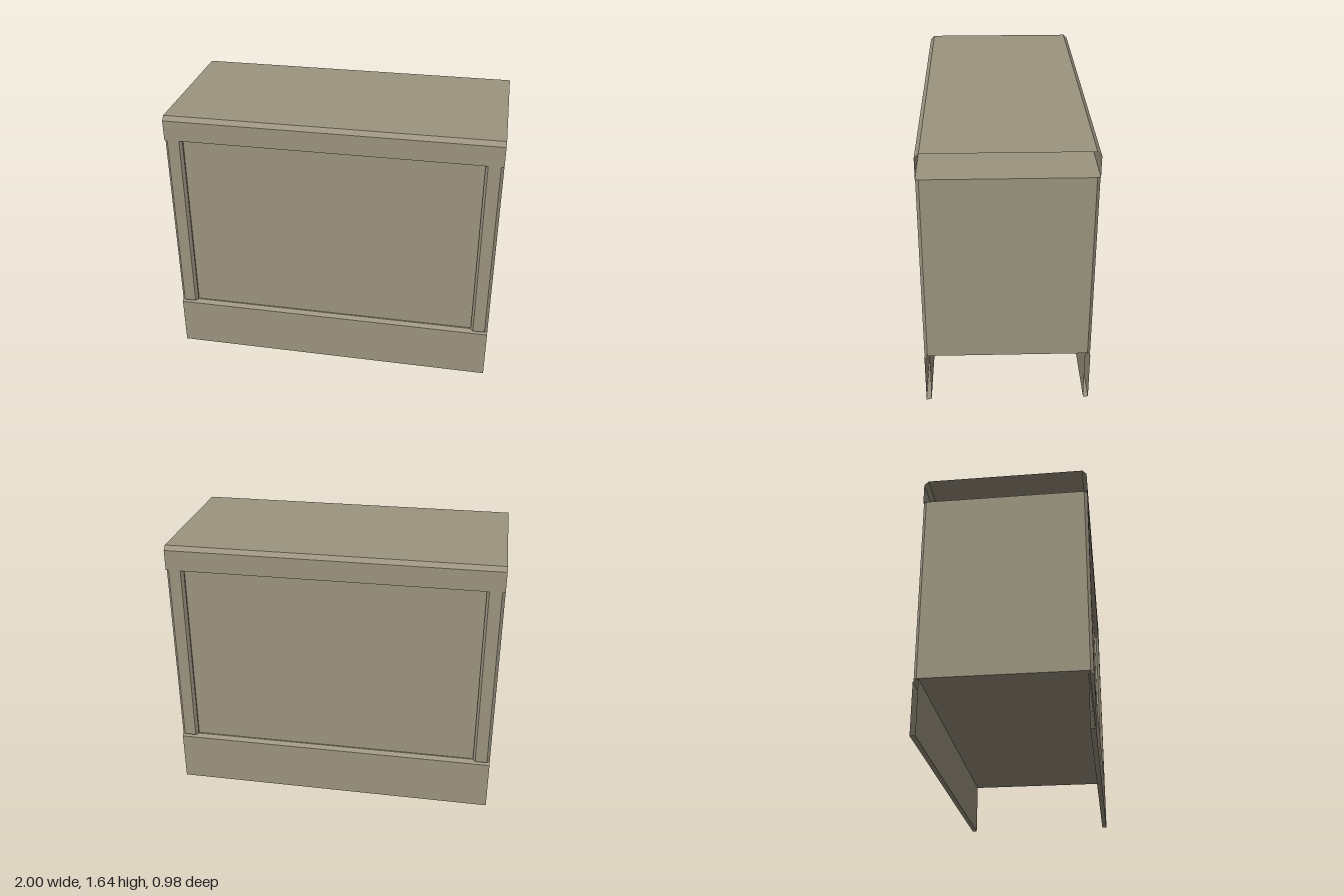
import * as THREE from 'three';

// Sweeps a 2D profile into a flat-faced sheet; place(u, v, t) gives the point at end t (0 or 1).
function sweep(profile, place) {
  const pos = [];
  for (let i = 0; i < profile.length - 1; i++) {
    const [p, q] = [profile[i], profile[i + 1]];
    const a = place(...p, 0), b = place(...p, 1), c = place(...q, 1), d = place(...q, 0);
    pos.push(...a, ...b, ...c, ...a, ...c, ...d);
  }
  const geo = new THREE.BufferGeometry();
  geo.setAttribute('position', new THREE.Float32BufferAttribute(pos, 3));
  geo.computeVertexNormals();
  return geo;
}

export function createModel() {
  const model = new THREE.Group();
  model.name = 'cabinet';
  const paint = new THREE.MeshStandardMaterial({ color: 0x9c9480, side: THREE.DoubleSide });
  paint.name = 'taupe paint';

  const add = (parent, name, geo) => {
    const mesh = new THREE.Mesh(geo, paint);
    mesh.name = name;
    parent.add(mesh);
    return mesh;
  };

  const low = 0.33, high = 1.49, panelZ = 0.46, faceZ = 0.49, bevelZ = 0.468;
  const alongX = (z, y, t) => [t * 2 - 1, y, z];
  const alongY = (x, z, t) => [x, t ? high : low, z];

  // Main box between the rails
  const body = add(model, 'body', new THREE.BoxGeometry(2, high - low, panelZ * 2));
  body.position.y = (low + high) / 2;

  // Top with bevelled front and back edges, open at both ends
  add(model, 'top', sweep([
    [panelZ, high], [faceZ, high], [faceZ, 1.615], [bevelZ - 0.003, 1.64],
    [-bevelZ + 0.003, 1.64], [-faceZ, 1.615], [-faceZ, high], [-panelZ, high],
  ], alongX));

  // Front and back frames are the same, turned half way round
  for (const side of ['front', 'back']) {
    const frame = new THREE.Group();
    frame.name = side + 'Frame';
    if (side === 'back') frame.rotation.y = Math.PI;
    model.add(frame);

    // Hollow skirting board with a bevelled top edge
    add(frame, side + 'Skirting', sweep([
      [panelZ, low], [panelZ, 0], [faceZ, 0], [faceZ, 0.31], [bevelZ, low], [panelZ, low],
    ], alongX));

    // Bevelled corner stiles
    const stile = [
      [1, panelZ], [1, 0.472], [0.982, faceZ], [0.91, faceZ], [0.895, 0.472], [0.895, panelZ],
    ];
    add(frame, side + 'LeftStile', sweep(stile, (x, z, t) => alongY(x, z, 1 - t)));
    add(frame, side + 'RightStile', sweep(stile, (x, z, t) => alongY(-x, z, t)));
  }
  return model;
}
